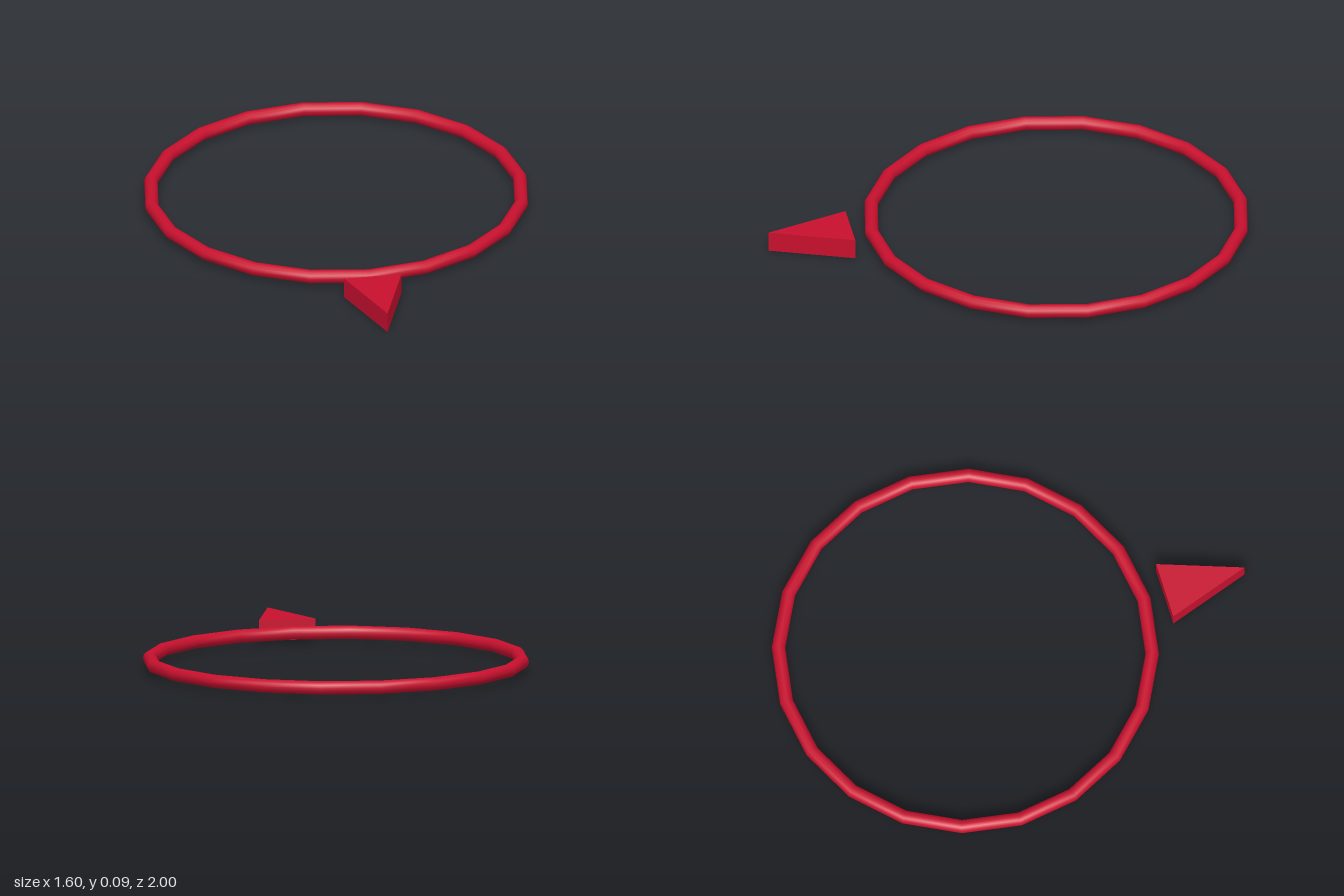
import * as THREE from 'three';

export function createModel() {
  const group = new THREE.Group();
  const material = new THREE.MeshStandardMaterial({ color: 0xc8102e });
  const midHeight = 0.043;

  // Flat ring with twenty straight segments
  const ring = new THREE.Mesh(new THREE.TorusGeometry(0.77, 0.028, 12, 20), material);
  ring.name = 'ring';
  ring.rotation.x = -Math.PI / 2;
  ring.position.set(0, midHeight, -0.202);
  group.add(ring);

  // Triangular pointer in front of the ring (shape y becomes -z when laid flat)
  const outline = new THREE.Shape([
    new THREE.Vector2(0, -1),
    new THREE.Vector2(0.12, -0.657),
    new THREE.Vector2(-0.12, -0.657),
  ]);
  const pointerGeometry = new THREE.ExtrudeGeometry(outline, {
    depth: midHeight * 2,
    bevelEnabled: false,
  });
  pointerGeometry.rotateX(-Math.PI / 2);
  const pointer = new THREE.Mesh(pointerGeometry, material);
  pointer.name = 'directionPointer';
  group.add(pointer);

  return group;
}
